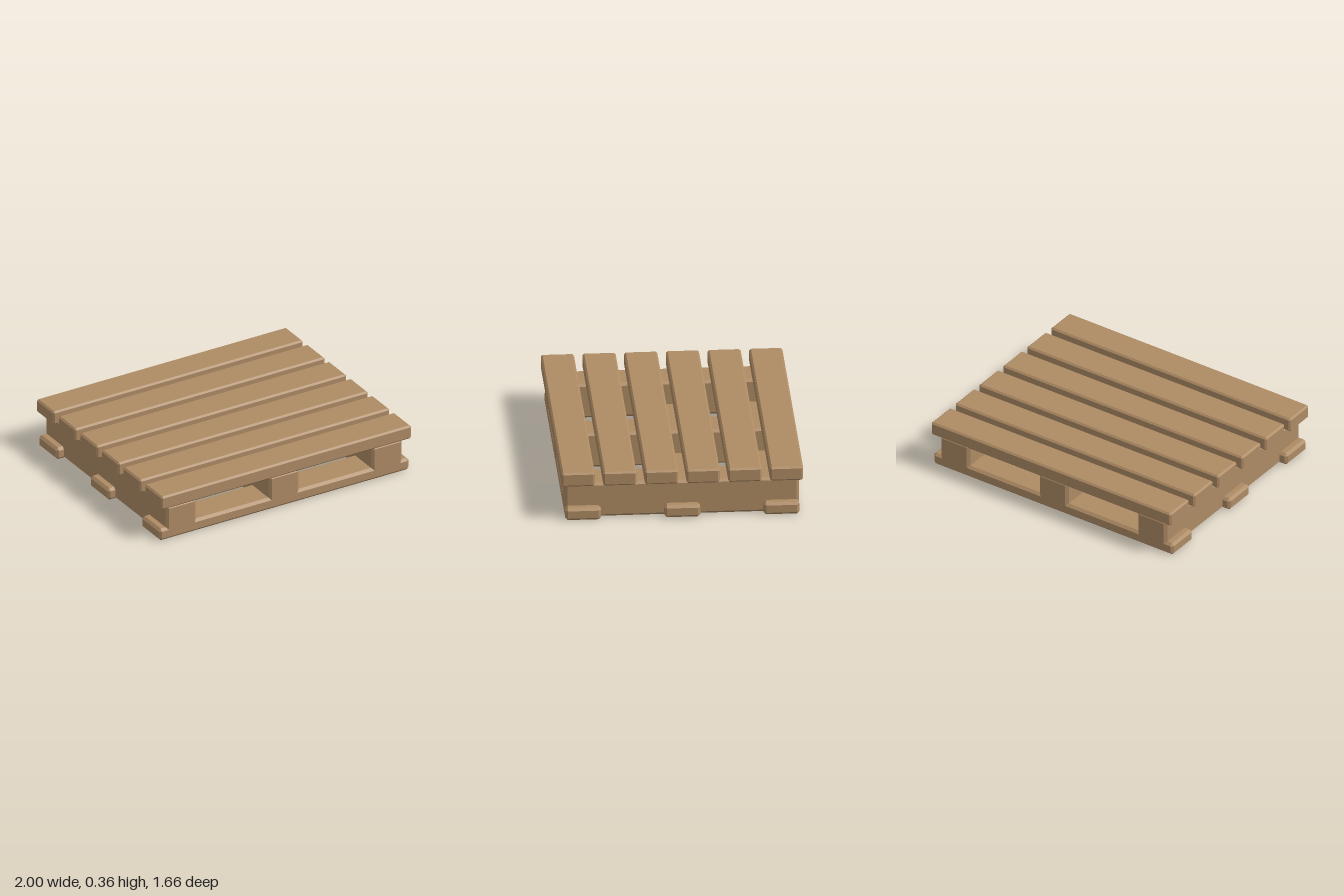
import * as THREE from 'three';
import { ConvexGeometry } from 'three/addons/geometries/ConvexGeometry.js';

// Box with flat chamfers on every edge
function chamferedBox(w, h, d, c) {
  const points = [];
  for (const sx of [-1, 1]) for (const sy of [-1, 1]) for (const sz of [-1, 1]) {
    const x = w / 2, y = h / 2, z = d / 2;
    points.push(
      new THREE.Vector3(sx * x, sy * (y - c), sz * (z - c)),
      new THREE.Vector3(sx * (x - c), sy * y, sz * (z - c)),
      new THREE.Vector3(sx * (x - c), sy * (y - c), sz * z)
    );
  }
  return new ConvexGeometry(points);
}

export function createModel() {
  const pallet = new THREE.Group();
  pallet.name = 'pallet';
  const wood = new THREE.MeshStandardMaterial({ color: 0xae8b64 });
  wood.name = 'wood';

  function add(name, geometry, x, y, z) {
    const mesh = new THREE.Mesh(geometry, wood);
    mesh.name = name;
    mesh.position.set(x, y, z);
    pallet.add(mesh);
  }

  // Six deck boards across the top
  const deck = chamferedBox(2, 0.102, 0.228, 0.012);
  for (let i = 0; i < 6; i++) add('deckBoard', deck, 0, 0.305, (i - 2.5) * 0.286);

  // Three stringers running front to back
  const stringer = chamferedBox(0.242, 0.254, 1.606, 0.018);
  for (const x of [-0.822, 0, 0.822]) add('stringer', stringer, x, 0.127, 0);

  // Three bottom boards, flush with the stringers
  const bottom = chamferedBox(2, 0.09, 0.246, 0.018);
  for (const z of [-0.68, 0, 0.68]) add('bottomBoard', bottom, 0, 0.045, z);

  return pallet;
}
